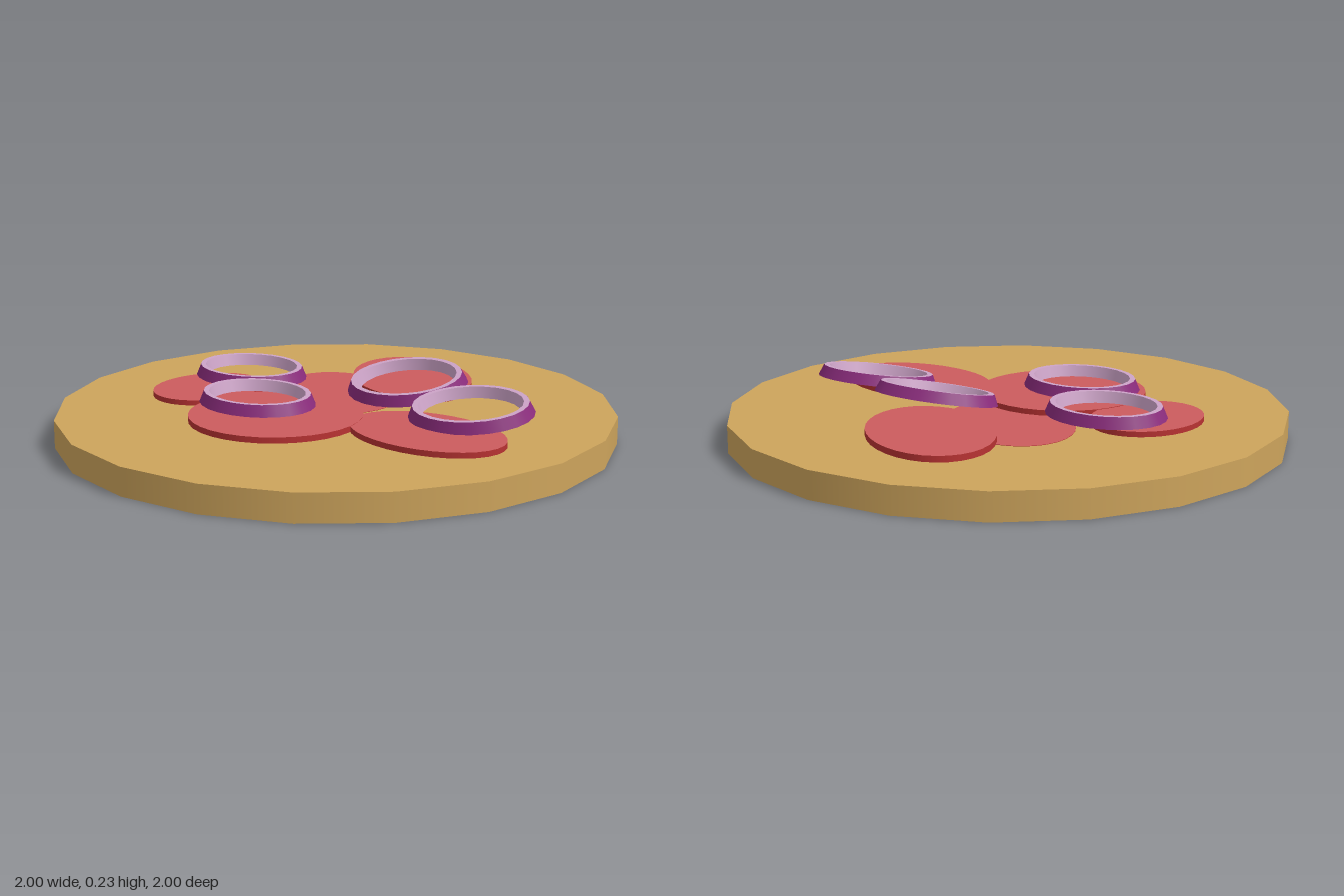
import * as THREE from 'three';

const mat = (name, color, extra = {}) => {
  const m = new THREE.MeshStandardMaterial({ color, ...extra });
  m.name = name;
  return m;
};

export function createModel() {
  const group = new THREE.Group();
  const wood = mat('wood', 0xcda45c);
  const meat = mat('sliceFace', 0xcc5c5e);
  const rind = mat('sliceRind', 0xb83232);
  const skin = mat('onionSkin', 0x8a2c7c, { side: THREE.DoubleSide });
  const flesh = mat('onionFlesh', 0xcda4c8, { side: THREE.DoubleSide });

  const add = (name, geometry, material, parent = group) => {
    const mesh = new THREE.Mesh(geometry, material);
    mesh.name = name;
    parent.add(mesh);
    return mesh;
  };

  // Round board with twenty sides
  add('board', new THREE.CylinderGeometry(1, 1, 0.1, 20), wood).position.y = 0.05;

  // Oval slices: x, z, half width, half length, turn, top height
  const slices = [
    [-0.16, -0.495, 0.222, 0.185, 0, 0.119],
    [-0.26, -0.043, 0.306, 0.308, 0, 0.121],
    [0.46, -0.04, 0.219, 0.318, -0.655, 0.122],
    [-0.065, 0.485, 0.205, 0.305, 0, 0.12],
    [0.16, -0.14, 0.22, 0.303, -0.6, 0.1015], // pressed almost flush into the board
  ];
  slices.forEach(([x, z, rx, rz, turn, top], i) => {
    const h = top - 0.098;
    const geometry = new THREE.CylinderGeometry(1, 1, h, 32).scale(rx, 1, rz).rotateY(turn);
    const slice = add('slice' + (i + 1), geometry, [rind, meat, meat]);
    slice.position.set(x, top - h / 2, z);
  });

  // Oval onion rings: x, y, z, turn, tilt
  const rings = [
    [-0.265, 0.165, -0.13, 0, 0],
    [-0.006, 0.165, -0.43, 0, 0],
    [0.23, 0.178, 0.135, 0.38, 0.2],
    [0.13, 0.165, 0.515, 0.38, 0.15],
  ];
  const wall = (...points) => new THREE.LatheGeometry(points.map(([r, y]) => new THREE.Vector2(r, y)), 24);
  const h = 0.02;
  rings.forEach(([x, y, z, turn, tilt], i) => {
    const ring = new THREE.Group();
    ring.name = 'onionRing' + (i + 1);
    const place = (g) => g.scale(0.187, 1, 0.223).rotateY(turn);
    add('outerSkin', place(wall([1, -h], [0.92, h])), skin, ring);
    add('topRim', place(wall([0.92, h], [0.83, h])), flesh, ring);
    add('innerWall', place(wall([0.83, h], [0.78, -h])), flesh, ring);
    add('bottomRim', place(wall([0.78, -h], [1, -h])), flesh, ring);
    ring.position.set(x, y, z);
    ring.rotation.z = tilt;
    group.add(ring);
  });

  return group;
}
